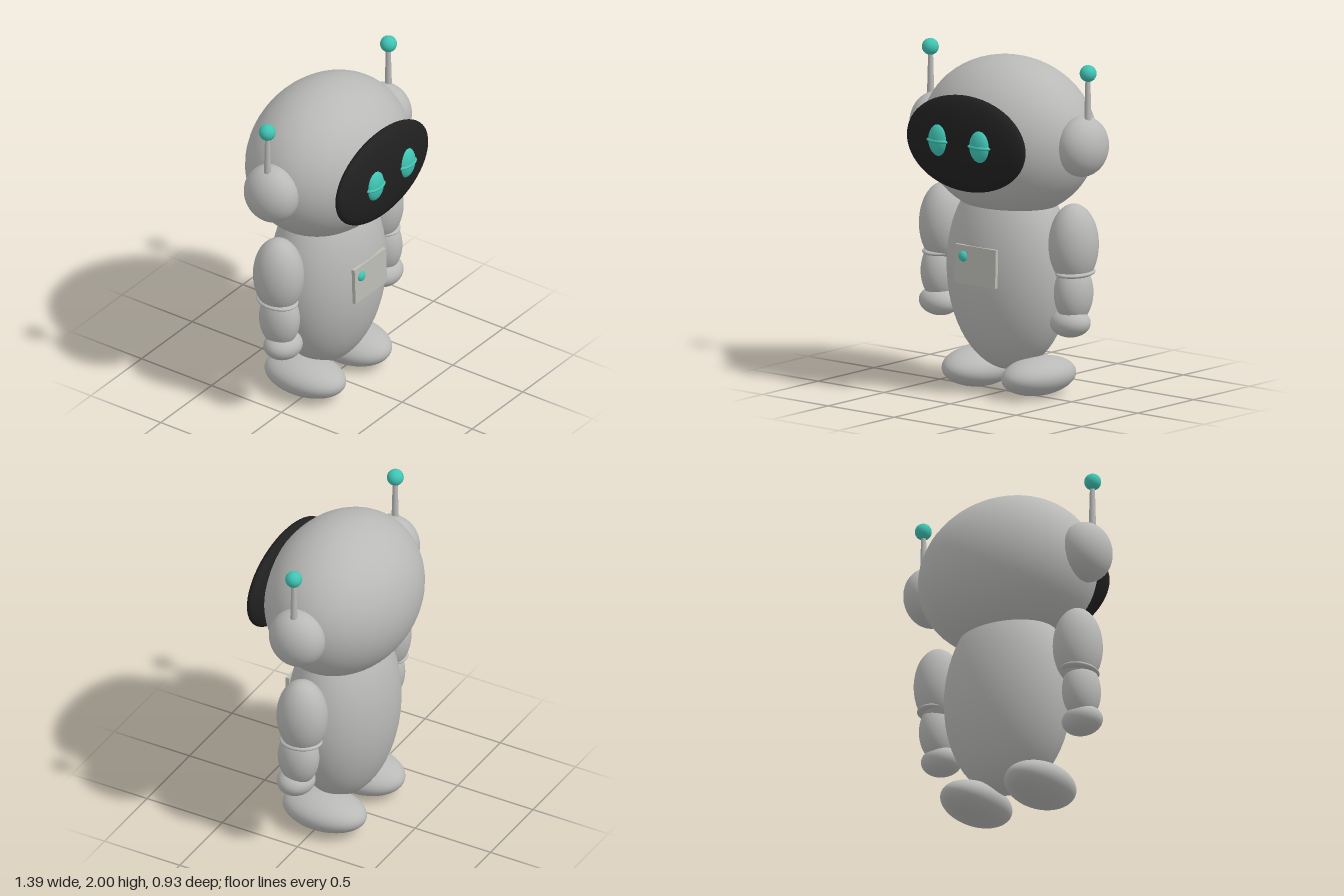
import * as THREE from 'three';

export function createModel() {
  const model = new THREE.Group();
  model.name = 'robot';

  const material = (name, color) => {
    const m = new THREE.MeshStandardMaterial({ color });
    m.name = name;
    return m;
  };
  const shell = material('shell grey', 0xb9b9b8);
  const plate = material('panel grey', 0xbdbdb6);
  const black = material('visor black', 0x202020);
  const teal = material('teal', 0x40c4b4);

  const add = (name, geometry, mat, position, parent = model) => {
    const mesh = new THREE.Mesh(geometry, mat);
    mesh.name = name;
    mesh.position.set(...position);
    parent.add(mesh);
    return mesh;
  };
  // Ellipsoid with given centre and radii
  const blob = (name, mat, position, radii, parent = model) =>
    add(name, new THREE.SphereGeometry(1, 48, 32).scale(...radii), mat, position, parent);

  // Body and head
  blob('body', shell, [0, 0.73, -0.03], [0.4, 0.6, 0.305]);
  blob('head', shell, [0, 1.51, -0.03], [0.56, 0.47, 0.432]);
  blob('visor', black, [0, 1.52, 0.355], [0.445, 0.283, 0.079]);

  // Chest panel, leaning slightly, with its button
  const panel = add('chestPanel', new THREE.BoxGeometry(0.31, 0.225, 0.022), plate, [0, 0.783, 0.266]);
  panel.rotation.x = -0.03;
  blob('chestButton', teal, [-0.092, 0.83, 0.272], [0.032, 0.032, 0.023]);

  // Parts that come in pairs
  for (const [side, s] of [['left', 1], ['right', -1]]) {
    // Eye with a thin band across it
    blob(side + 'Eye', teal, [s * 0.155, 1.53, 0.415], [0.074, 0.095, 0.043]);
    blob(side + 'EyeBand', teal, [s * 0.155, 1.528, 0.418], [0.084, 0.02, 0.045]);

    // Ear and antenna
    blob(side + 'Ear', shell, [s * 0.555, 1.518, -0.03], [0.141, 0.178, 0.171]);
    add(side + 'Antenna', new THREE.CylinderGeometry(0.014, 0.021, 0.26, 24), shell, [s * 0.596, 1.81, -0.03]);
    blob(side + 'AntennaTip', teal, [s * 0.598, 1.954, -0.03], [0.049, 0.049, 0.049]);

    // Arm
    const arm = new THREE.Group();
    arm.name = side + 'Arm';
    model.add(arm);
    blob('upperArm', shell, [s * 0.491, 0.93, -0.027], [0.142, 0.24, 0.152], arm);
    const cuff = blob('elbowRing', shell, [s * 0.504, 0.767, -0.027], [0.108, 0.028, 0.13], arm);
    cuff.rotation.x = 0.05;
    blob('forearm', shell, [s * 0.505, 0.65, -0.01], [0.107, 0.18, 0.125], arm);
    const hand = blob('hand', shell, [s * 0.497, 0.473, 0.01], [0.125, 0.084, 0.108], arm);
    hand.rotation.z = s * 0.06;

    // Foot, rolled slightly outward
    const foot = blob(side + 'Foot', shell, [s * 0.226, 0.12, -0.027], [0.179, 0.114, 0.262]);
    foot.rotation.z = s * 0.08;
  }

  return model;
}
